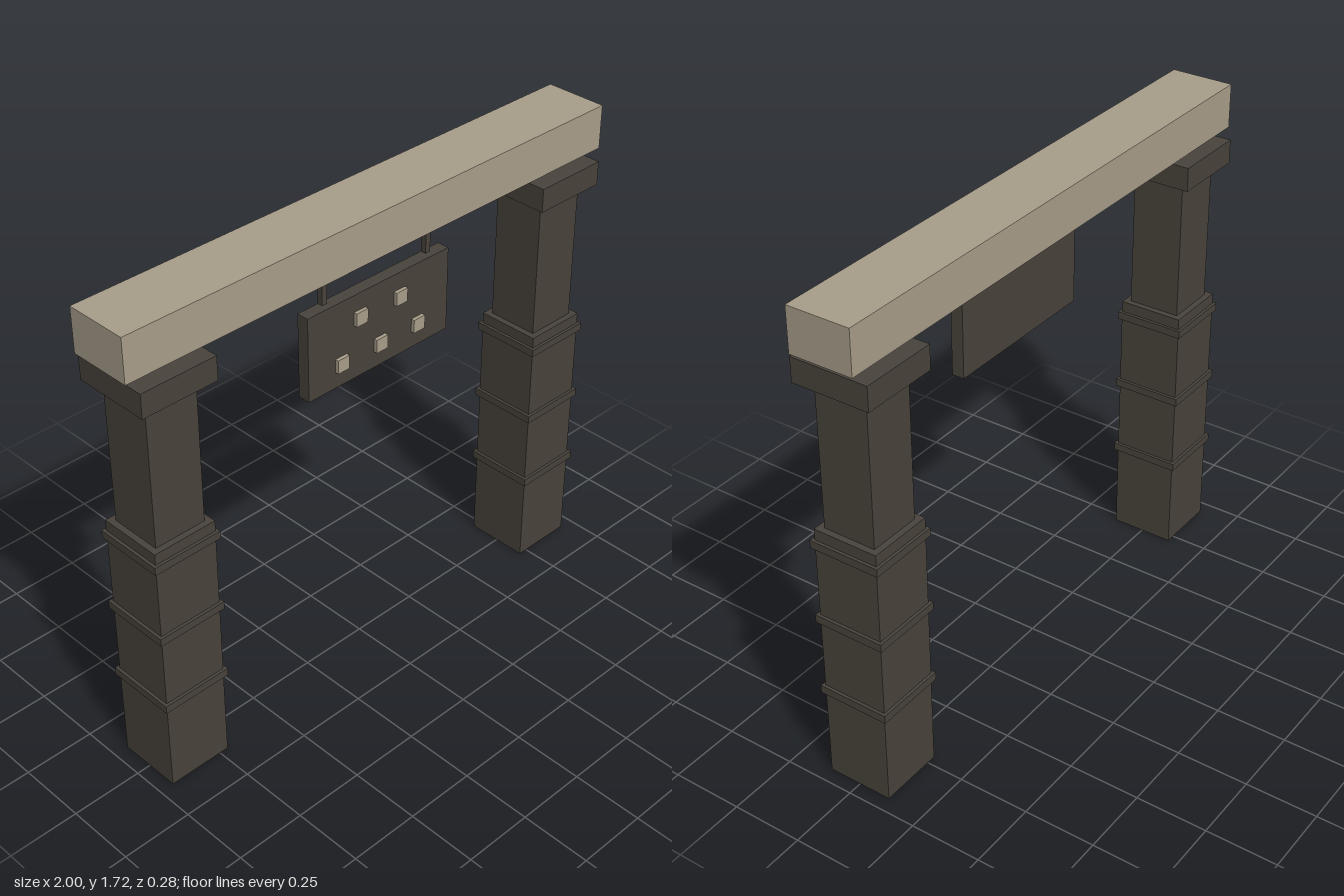
import * as THREE from 'three';

export function createModel() {
  const model = new THREE.Group();
  model.name = 'gateway';

  const darkWood = new THREE.MeshStandardMaterial({ color: 0x48433b });
  darkWood.name = 'darkWood';
  const paleWood = new THREE.MeshStandardMaterial({ color: 0xa89d8a });
  paleWood.name = 'paleWood';

  // Box given by its centre x and z, its bottom and top, and its width and depth
  function box(parent, name, material, x, z, bottom, top, width, depth) {
    const mesh = new THREE.Mesh(new THREE.BoxGeometry(width, top - bottom, depth), material);
    mesh.name = name;
    mesh.position.set(x, (bottom + top) / 2, z);
    parent.add(mesh);
    return mesh;
  }

  // Crossbeam, floating slightly above the pillar caps
  box(model, 'crossbeam', paleWood, 0, 0, 1.565, 1.72, 2, 0.224);

  // Pillars: thick base with bands, slimmer shaft, wide cap
  for (const [name, side] of [['leftPillar', 1], ['rightPillar', -1]]) {
    const pillar = new THREE.Group();
    pillar.name = name;
    pillar.position.x = side * 0.833;
    box(pillar, 'pillarBase', darkWood, 0, 0, 0, 0.945, 0.232, 0.232);
    for (const y of [0.337, 0.614, 0.892]) {
      box(pillar, 'pillarBand', darkWood, 0, 0, y - 0.014, y + 0.014, 0.253, 0.253);
    }
    box(pillar, 'pillarShaft', darkWood, 0, 0, 0.945, 1.45, 0.188, 0.188);
    box(pillar, 'pillarCap', darkWood, 0, 0, 1.45, 1.535, 0.276, 0.276);
    model.add(pillar);
  }

  // Hanging board with its two hangers and five raised studs
  const sign = new THREE.Group();
  sign.name = 'hangingSign';
  box(sign, 'signBoard', darkWood, 0, 0.068, 1.16, 1.46, 0.606, 0.044);
  for (const x of [-0.222, 0.222]) {
    box(sign, 'hanger', darkWood, x, 0.068, 1.47, 1.565, 0.02, 0.02);
  }
  const studs = [[-0.087, 1.376], [0.085, 1.376], [-0.167, 1.242], [0, 1.242], [0.165, 1.242]];
  for (const [x, y] of studs) {
    box(sign, 'stud', paleWood, x, 0.096, y - 0.024, y + 0.024, 0.048, 0.014);
  }
  model.add(sign);

  return model;
}
